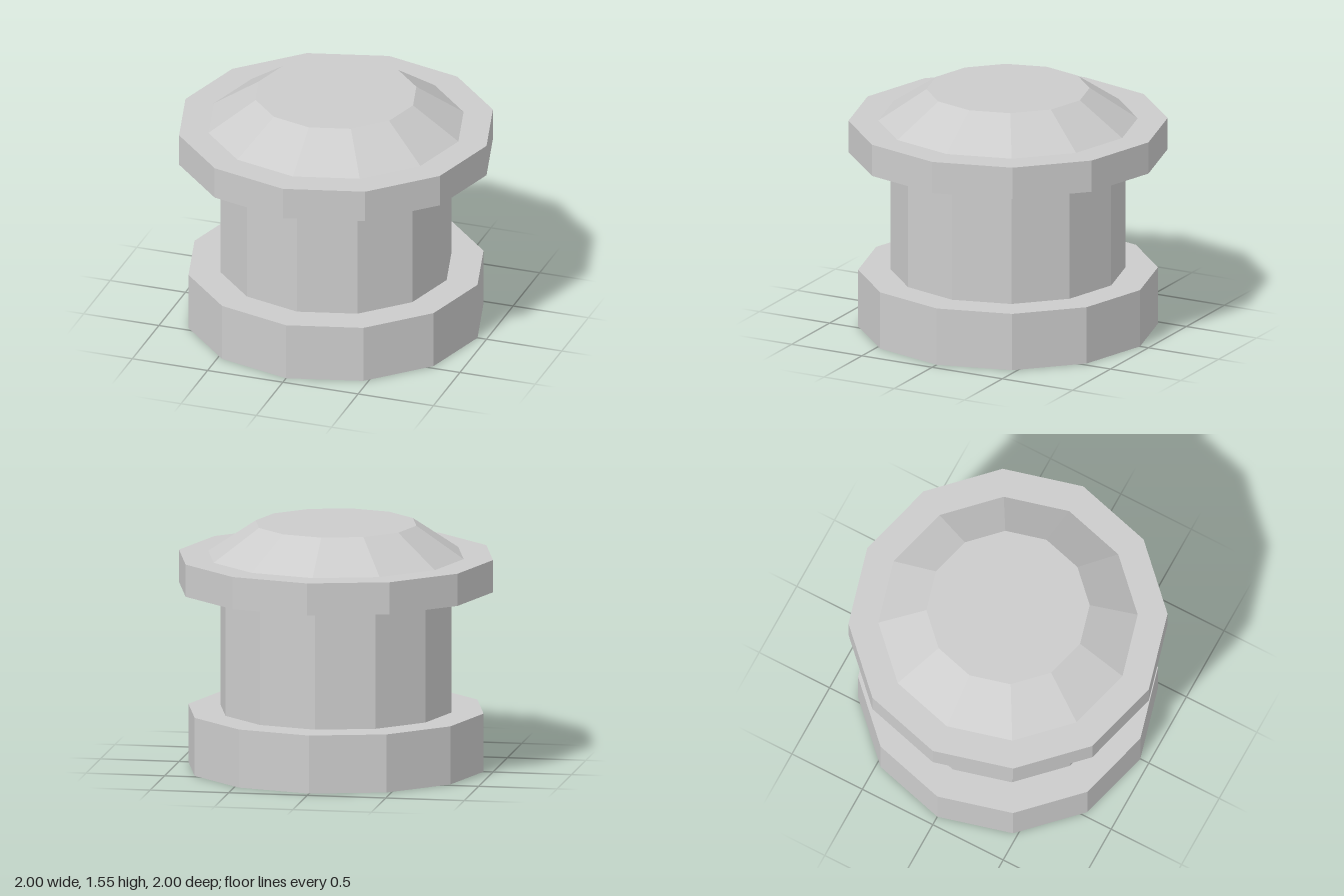
import * as THREE from 'three';

const SIDES = 12;

export function createModel() {
  const model = new THREE.Group();
  model.name = 'bollard';

  const grey = new THREE.MeshStandardMaterial({ color: 0xcccccc, flatShading: true });
  grey.name = 'light grey';

  // Twelve-sided drum between two heights, with its own top and bottom radius
  const addDrum = (name, bottomY, topY, bottomRadius, topRadius = bottomRadius) => {
    const height = topY - bottomY;
    const geometry = new THREE.CylinderGeometry(topRadius, bottomRadius, height, SIDES);
    const mesh = new THREE.Mesh(geometry, grey);
    mesh.name = name;
    mesh.position.y = bottomY + height / 2;
    model.add(mesh);
  };

  addDrum('base', 0, 0.37, 0.94);
  addDrum('column', 0.37, 1.145, 0.735);
  addDrum('rim', 1.145, 1.35, 1);
  addDrum('cap', 1.35, 1.553, 0.813, 0.512); // bevelled top

  return model;
}
